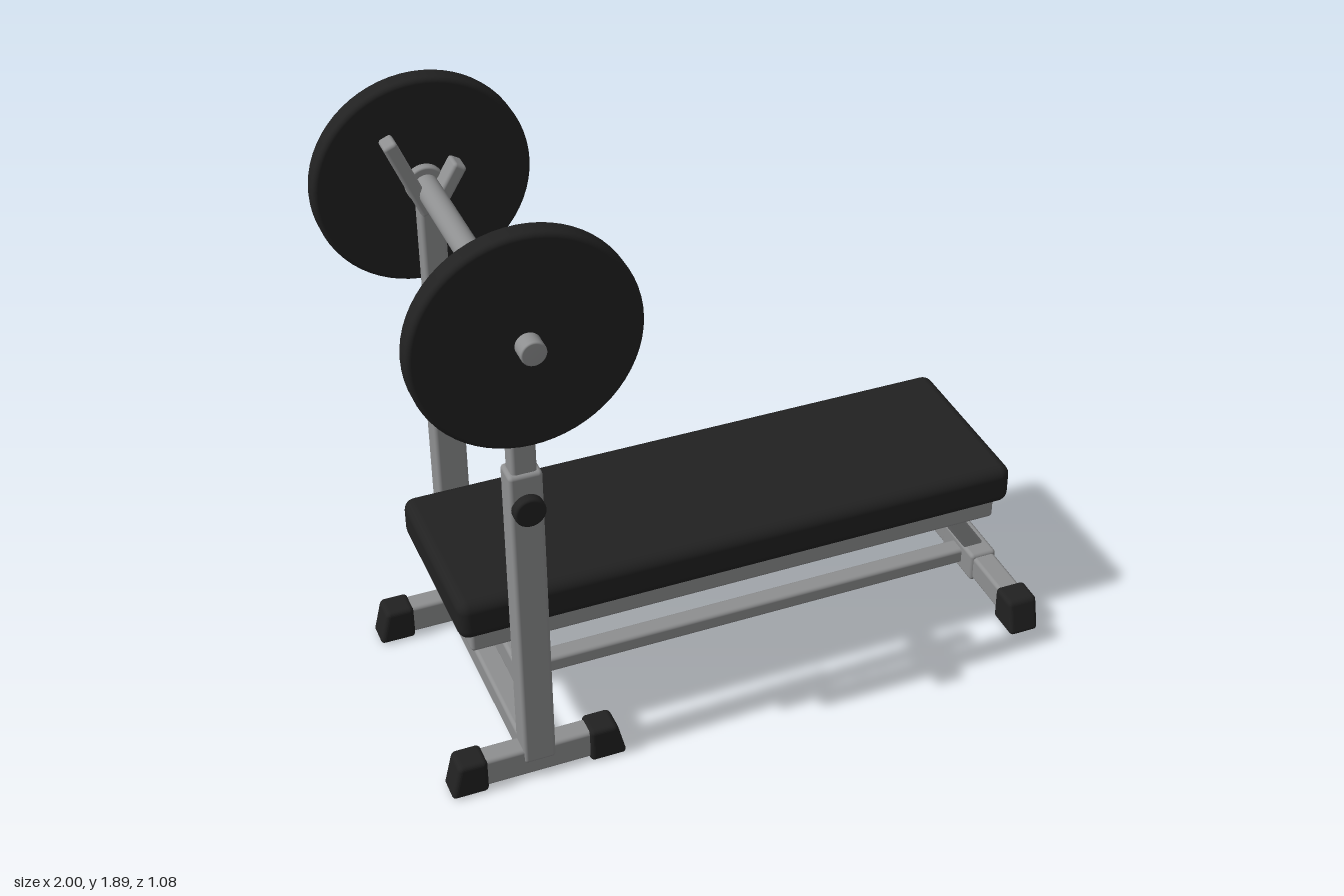
import * as THREE from 'three';
import { RoundedBoxGeometry } from 'three/addons/geometries/RoundedBoxGeometry.js';

const steel = new THREE.MeshStandardMaterial({ color: 0x8e8f90 });
steel.name = 'greySteel';
const black = new THREE.MeshStandardMaterial({ color: 0x212121 });
black.name = 'blackRubber';

const RACK_X = -0.68, RACK_Z = 0.375, BAR_Y = 1.565;

export function createModel() {
  const model = new THREE.Group();
  model.name = 'weightBench';

  const add = (name, geometry, material, x = 0, y = 0, z = 0) => {
    const mesh = new THREE.Mesh(geometry, material);
    mesh.name = name;
    mesh.position.set(x, y, z);
    model.add(mesh);
    return mesh;
  };

  // rounded box given by its min and max on each axis
  const block = (name, material, [x0, x1], [y0, y1], [z0, z1], r = 0.012) =>
    add(name, new RoundedBoxGeometry(x1 - x0, y1 - y0, z1 - z0, 3, r), material,
      (x0 + x1) / 2, (y0 + y1) / 2, (z0 + z1) / 2);

  // square tube running between two points in the xy plane
  const strut = (name, [x0, y0], [x1, y1], z, thick, width, r = 0.01) => {
    const len = Math.hypot(x1 - x0, y1 - y0);
    const mesh = add(name, new RoundedBoxGeometry(thick, len, width, 3, r), steel,
      (x0 + x1) / 2, (y0 + y1) / 2, z);
    mesh.rotation.z = Math.atan2(x0 - x1, y1 - y0);
    return mesh;
  };

  // rubber foot whose outer end leans inward toward the top
  const footCap = (name, x, z, length, width, angle) => {
    const h = 0.115;
    const geo = new RoundedBoxGeometry(length, h, width, 3, 0.014);
    const p = geo.attributes.position;
    for (let i = 0; i < p.count; i++) {
      if (p.getX(i) > 0) p.setX(i, p.getX(i) - 0.028 * (p.getY(i) / h + 0.5));
    }
    geo.computeVertexNormals();
    add(name, geo, black, x, h / 2, z).rotation.y = angle;
  };

  // disc along z with softened rims
  const disc = (name, radius, depth, bevel, material, x, y, z) => {
    const d = depth / 2, pts = [new THREE.Vector2(0, -d)];
    for (const side of [-1, 1]) {
      for (let i = 0; i <= 4; i++) {
        const a = (side < 0 ? i - 4 : i) * Math.PI / 8;
        pts.push(new THREE.Vector2(radius - bevel + bevel * Math.cos(a),
          side * (d - bevel) + bevel * Math.sin(a)));
      }
    }
    pts.push(new THREE.Vector2(0, d));
    add(name, new THREE.LatheGeometry(pts, 64), material, x, y, z).rotation.x = Math.PI / 2;
  };

  // padded bench on its tray
  block('benchPad', black, [-0.86, 0.915], [0.46, 0.592], [-0.287, 0.287], 0.035);
  block('benchFrame', steel, [-0.82, 0.88], [0.388, 0.475], [-0.25, 0.25], 0.012);

  // rack sides
  for (const s of [-1, 1]) {
    const z = s * RACK_Z;
    const span = (w) => [z - w / 2, z + w / 2];
    block('rackFoot', steel, [-0.9, -0.46], [0.012, 0.108], span(0.07));
    footCap('rackFootCap', -0.898, z, 0.115, 0.09, Math.PI);
    footCap('rackFootCap', -0.467, z, 0.115, 0.09, 0);
    block('outerUpright', steel, [-0.729, -0.631], [0.06, 1.1], span(0.082));
    block('innerUpright', steel, [-0.717, -0.643], [1.0, 1.53], span(0.062));
    disc('adjustKnob', 0.046, 0.04, 0.008, black, RACK_X, 0.99, s * 0.425);

    // hook with a tall and a short arm
    strut('hookTallArm', [-0.69, 1.5], [-0.79, 1.74], z, 0.042, 0.066);
    strut('hookShortArm', [-0.67, 1.505], [-0.588, 1.638], z, 0.042, 0.066);

    // weight and its collar
    disc('weightPlate', 0.322, 0.068, 0.015, black, RACK_X, BAR_Y, s * 0.457);
    disc('barCollar', 0.058, 0.03, 0.006, steel, RACK_X, BAR_Y, s * 0.412);
  }
  disc('barbell', 0.036, 1.084, 0.005, steel, RACK_X, BAR_Y, 0);

  // cross members and spine
  block('upperCrossbar', steel, [-0.72, -0.64], [0.292, 0.382], [-0.345, 0.345]);
  block('lowerCrossbar', steel, [-0.72, -0.64], [0.02, 0.1], [-0.35, 0.35]);
  block('spineRail', steel, [-0.67, 0.93], [0.034, 0.088], [-0.032, 0.032]);

  // rear foot and leg
  block('rearFoot', steel, [0.915, 0.99], [0.016, 0.1], [-0.35, 0.35]);
  block('rearSleeve', steel, [0.907, 0.996], [0.008, 0.11], [-0.1, 0.1]);
  strut('rearLeg', [0.742, 0.41], [0.955, 0.09], 0, 0.058, 0.094);
  for (const s of [-1, 1]) footCap('rearFootCap', 0.95, s * 0.331, 0.118, 0.098, -s * Math.PI / 2);

  return model;
}
